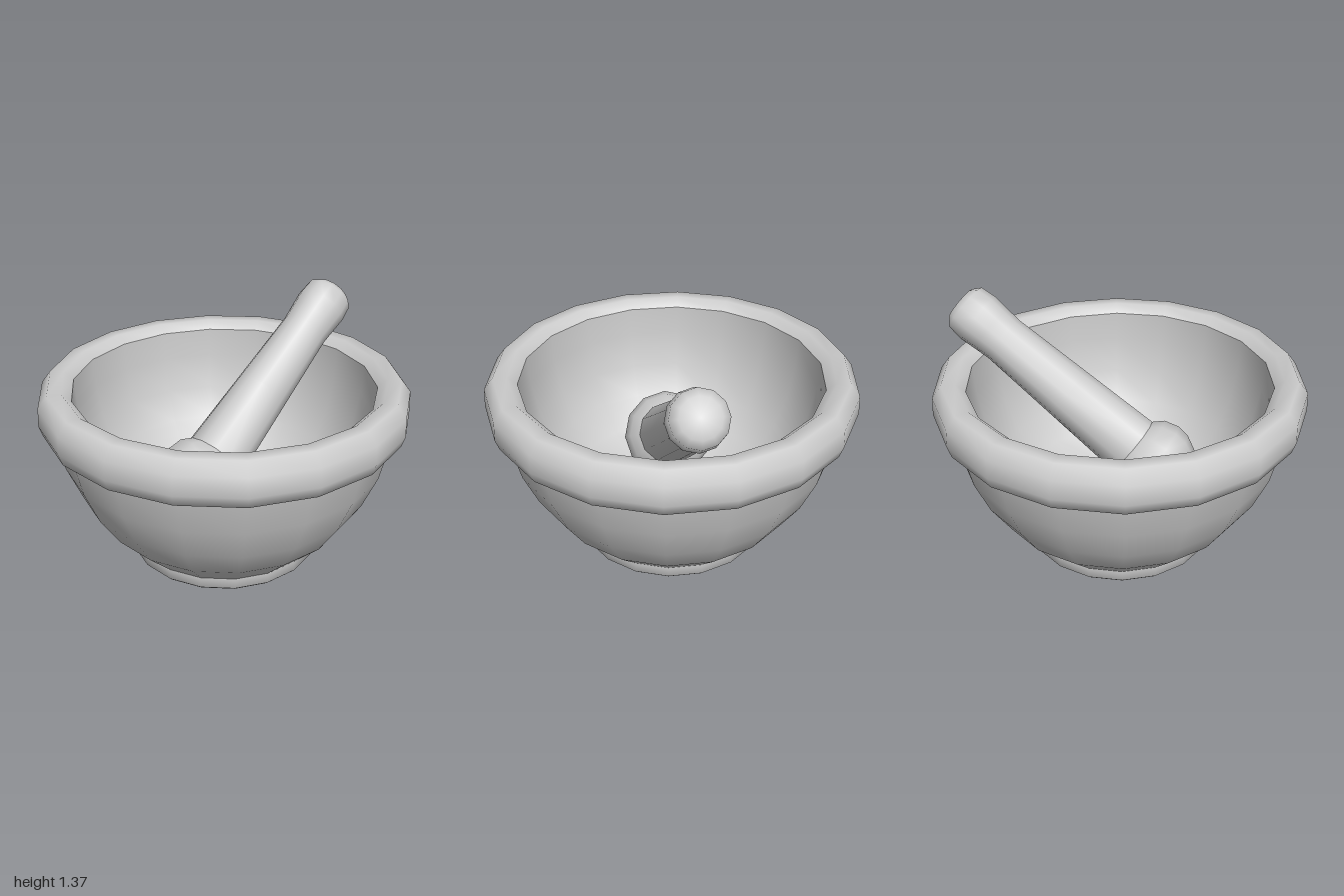
import * as THREE from 'three';
import { toCreasedNormals } from 'three/addons/utils/BufferGeometryUtils.js';

const material = new THREE.MeshStandardMaterial({ color: 0xcccccc });

// Turned part from [radius, height] pairs, smooth except at sharp profile corners
function turned(name, profile, sides, crease) {
  const points = profile.map(([r, y]) => new THREE.Vector2(r, y));
  const geometry = new THREE.LatheGeometry(points, sides);
  geometry.rotateY(Math.PI / 2);
  const mesh = new THREE.Mesh(toCreasedNormals(geometry, crease), material);
  mesh.name = name;
  return mesh;
}

export function createModel() {
  const model = new THREE.Group();
  model.name = 'mortarAndPestle';

  const mortar = new THREE.Group();
  mortar.name = 'mortar';
  model.add(mortar);

  // Low foot ring with a flat underside
  mortar.add(turned('foot', [
    [0, 0], [0.515, 0], [0.53, 0.015], [0.53, 0.075],
  ], 18, 0.9));

  // Outer wall of the bowl
  mortar.add(turned('bowlOutside', [
    [0.53, 0.075], [0.69, 0.23], [0.8, 0.4], [0.88, 0.59], [0.92, 0.765],
  ], 18, 0.9));

  // Rounded rim
  mortar.add(turned('rim', [
    [0.92, 0.765], [0.98, 0.8], [1, 0.86], [0.995, 0.96], [0.945, 1.025],
    [0.87, 1.025], [0.82, 0.98],
  ], 18, 1.1));

  // Hollow inside of the bowl
  mortar.add(turned('bowlInside', [
    [0.82, 0.98], [0.81, 0.82], [0.77, 0.62], [0.69, 0.44],
    [0.57, 0.3], [0.4, 0.2], [0.2, 0.155], [0, 0.145],
  ], 18, 0.9));

  // Pestle leaning on the back of the rim; local origin where handle meets head
  const pestle = new THREE.Group();
  pestle.name = 'pestle';
  pestle.position.set(0, 0.555, 0.07);
  pestle.rotation.x = -0.94;
  model.add(pestle);

  pestle.add(turned('pestleHead', [
    [0, -0.38], [0.11, -0.36], [0.2, -0.295], [0.245, -0.2],
    [0.25, -0.13], [0.225, -0.05], [0.175, 0],
  ], 12, 0.9));

  pestle.add(turned('pestleHandle', [
    [0.175, 0], [0.155, 0.46], [0.135, 0.92], [0.142, 1.01],
    [0.15, 1.1], [0.14, 1.19], [0.1, 1.225], [0, 1.232],
  ], 12, 0.9));

  return model;
}
